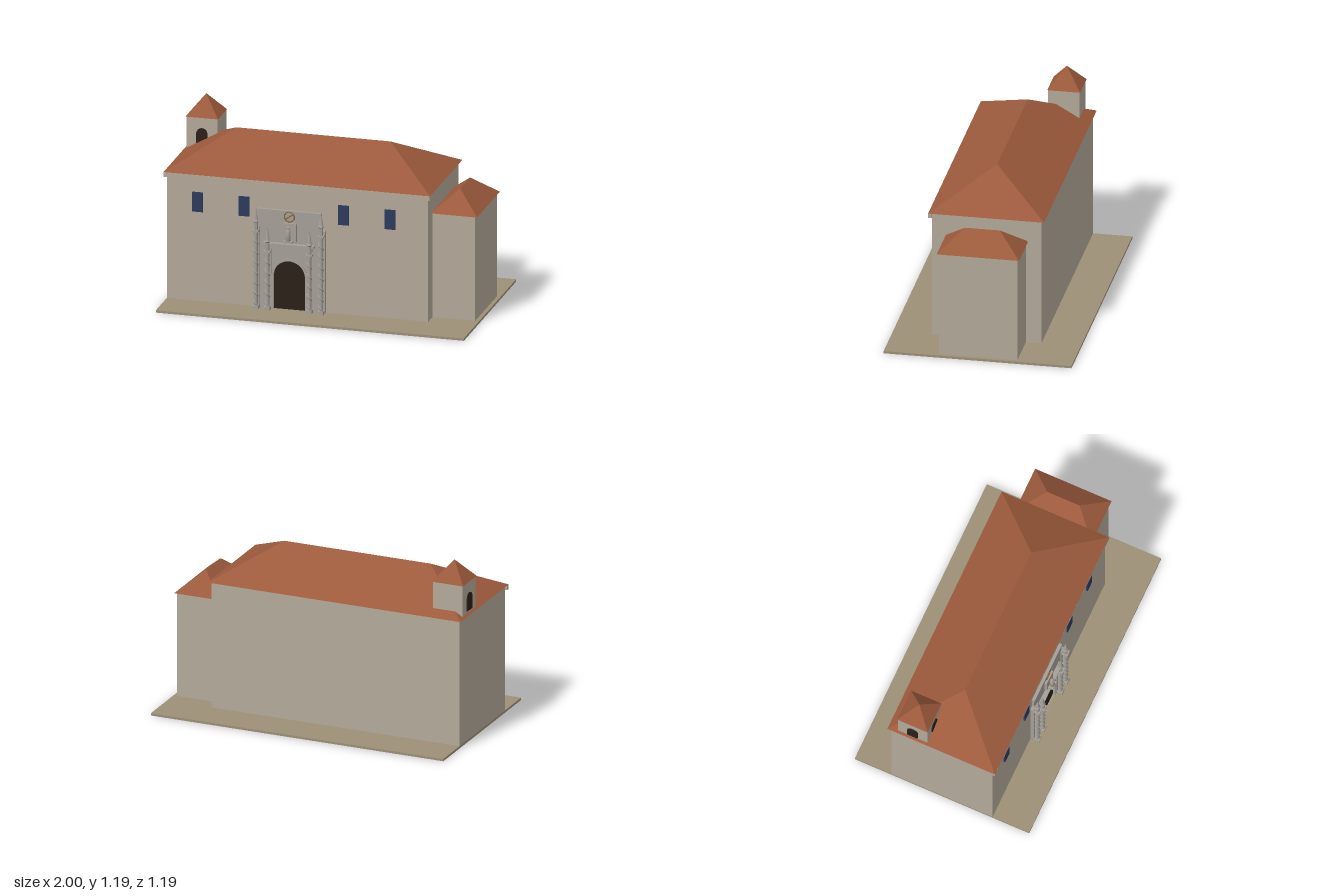
import * as THREE from 'three';
import { ConvexGeometry } from 'three/addons/geometries/ConvexGeometry.js';

const mat = (color) => new THREE.MeshStandardMaterial({ color });

export function createModel() {
  const model = new THREE.Group();
  const wall = mat(0xb3a999), tile = mat(0x9c5a3c), earth = mat(0x9c9077), stone = mat(0xa5a098);
  const glass = mat(0x2c3a5c), dark = mat(0x2a2018), gold = mat(0x8a6a3a);

  const add = (name, geometry, material, x = 0, y = 0, z = 0, parent = model) => {
    const mesh = new THREE.Mesh(geometry, material);
    mesh.name = name;
    mesh.position.set(x, y, z);
    parent.add(mesh);
    return mesh;
  };
  // Box given by its minimum and maximum along each axis
  const block = (name, material, x0, x1, y0, y1, z0, z1, parent) =>
    add(name, new THREE.BoxGeometry(x1 - x0, y1 - y0, z1 - z0), material,
      (x0 + x1) / 2, (y0 + y1) / 2, (z0 + z1) / 2, parent);
  // Hipped roof: rectangular eaves plus one or two ridge points
  const roof = (name, x0, x1, z0, z1, y, ridge) => {
    const v = (x, h, z) => new THREE.Vector3(x, h, z);
    const pts = [v(x0, y, z0), v(x1, y, z0), v(x1, y, z1), v(x0, y, z1), ...ridge.map((p) => v(...p))];
    return add(name, new ConvexGeometry(pts), tile);
  };
  // Round-headed outline standing on y = 0
  const arch = (w, h, PathType = THREE.Shape) => {
    const r = w / 2, p = new PathType();
    p.moveTo(-r, 0);
    p.lineTo(r, 0);
    p.lineTo(r, h - r);
    p.absarc(0, h - r, r, 0, Math.PI, false);
    p.lineTo(-r, 0);
    return p;
  };
  const extrude = (shape, depth) =>
    new THREE.ExtrudeGeometry(shape, { depth, bevelEnabled: false, curveSegments: 16 });

  // Ground and main hall
  block('ground', earth, -0.985, 1, 0, 0.015, -0.593, 0.593);
  block('hall', wall, -0.985, 0.7, 0.015, 0.844, -0.345, 0.345);
  block('cornice', wall, -1, 0.715, 0.814, 0.844, 0.345, 0.367);
  roof('hallRoof', -1, 0.718, -0.365, 0.367, 0.845, [[-0.635, 1.052, 0], [0.358, 1.052, 0]]);

  // Side annex
  block('annex', wall, 0.7, 0.975, 0.015, 0.696, -0.247, 0.247);
  roof('annexRoof', 0.69, 0.99, -0.26, 0.26, 0.697, [[0.84, 0.825, -0.11], [0.84, 0.825, 0.11]]);

  // Bell tower with arched openings on the front and left side
  block('tower', wall, -0.984, -0.784, 0.8, 1.058, -0.298, -0.1);
  roof('towerRoof', -0.99, -0.78, -0.303, -0.095, 1.058, [[-0.885, 1.187, -0.199]]);
  add('belfryOpening', extrude(arch(0.07, 0.125), 0.008), dark, -0.885, 0.865, -0.101);
  const side = add('belfryOpening', extrude(arch(0.07, 0.115), 0.008), dark, -0.983, 0.87, -0.199);
  side.rotation.y = -Math.PI / 2;

  // Upper windows
  for (const x of [-0.785, -0.485, 0.155, 0.455])
    block('window', glass, x - 0.034, x + 0.034, 0.6, 0.727, 0.344, 0.355);

  // Portal, built around its own centre line
  const portal = new THREE.Group();
  portal.name = 'portal';
  portal.position.set(-0.19, 0.015, 0.345);
  model.add(portal);

  const panel = new THREE.Shape();
  panel.moveTo(-0.205, 0);
  panel.lineTo(0.205, 0);
  panel.lineTo(0.205, 0.635);
  panel.lineTo(-0.205, 0.635);
  panel.closePath();
  panel.holes.push(arch(0.204, 0.32, THREE.Path));
  add('portalPanel', extrude(panel, 0.016), stone, 0, 0, -0.001, portal);
  add('door', extrude(arch(0.206, 0.321), 0.004), dark, 0, 0, 0, portal);
  block('panelCornice', stone, -0.205, 0.205, 0.632, 0.648, 0, 0.02, portal);

  const surround = arch(0.232, 0.334);
  surround.holes.push(arch(0.204, 0.32, THREE.Path));
  add('doorSurround', extrude(surround, 0.009), stone, 0, 0, 0.014, portal);

  // Entablature over the door
  block('frieze', stone, -0.15, 0.15, 0.398, 0.424, 0.01, 0.035, portal);
  block('friezeLedge', stone, -0.165, 0.165, 0.424, 0.436, 0.01, 0.045, portal);

  // Twisted column: thin core, spiral cord, base, capital and spire
  const twistedColumn = (x, h, spire, r) => {
    const g = new THREE.Group();
    g.name = 'twistedColumn';
    g.position.set(x, 0, 0.041);
    portal.add(g);
    add('shaft', new THREE.CylinderGeometry(r * 0.72, r * 0.72, h, 12), stone, 0, h / 2, 0, g);
    const turns = Math.round(h / 0.075), points = [];
    for (let i = 0; i <= turns * 10; i++) {
      const a = (i / 10) * Math.PI * 2;
      points.push(new THREE.Vector3(Math.cos(a) * r * 0.66, 0.02 + (h - 0.04) * i / (turns * 10), Math.sin(a) * r * 0.66));
    }
    const cord = new THREE.CatmullRomCurve3(points);
    add('spiral', new THREE.TubeGeometry(cord, turns * 14, r * 0.38, 6), stone, 0, 0, 0, g);
    block('base', stone, -r * 1.1, r * 1.1, 0, 0.022, -r * 1.1, r * 1.1, g);
    block('capital', stone, -r * 1.15, r * 1.15, h - 0.012, h, -r * 1.15, r * 1.15, g);
    const profile = [[0, 0], [r * 0.8, 0], [r * 0.8, spire * 0.32], [r * 1.1, spire * 0.36],
      [r * 0.85, spire * 0.42], [r * 0.3, spire * 0.78], [0, spire]].map((p) => new THREE.Vector2(...p));
    const pinnacleMat = stone.clone();
    pinnacleMat.flatShading = true;
    add('pinnacle', new THREE.LatheGeometry(profile, 8), pinnacleMat, 0, h, 0, g);
  };
  for (const s of [-1, 1]) {
    twistedColumn(s * 0.21, 0.515, 0.16, 0.018);
    twistedColumn(s * 0.135, 0.385, 0.17, 0.018);
    block('pilaster', stone, s * 0.21 - 0.02, s * 0.21 + 0.02, 0, 0.535, 0, 0.024, portal);
    block('pilaster', stone, s * 0.135 - 0.018, s * 0.135 + 0.018, 0, 0.4, 0.01, 0.024, portal);
  }

  // Niche with a small figure on a bracket
  block('niche', stone, -0.048, 0.048, 0.45, 0.57, 0.01, 0.03, portal);
  block('nicheBracket', stone, -0.03, 0.03, 0.45, 0.462, 0.01, 0.062, portal);
  const robe = [[0, 0], [0.017, 0], [0.013, 0.04], [0.016, 0.065], [0.006, 0.077], [0, 0.077]]
    .map((p) => new THREE.Vector2(...p));
  add('statueBody', new THREE.LatheGeometry(robe, 12), stone, 0, 0.462, 0.045, portal);
  add('statueHead', new THREE.SphereGeometry(0.01, 12, 8), stone, 0, 0.546, 0.045, portal);

  // Round medallion crossed by a diagonal band
  add('medallionRing', new THREE.TorusGeometry(0.032, 0.004, 8, 28), gold, 0, 0.61, 0.018, portal);
  const band = block('medallionBand', gold, -0.031, 0.031, 0.606, 0.614, 0.012, 0.021, portal);
  band.rotation.z = 0.6;

  return model;
}
